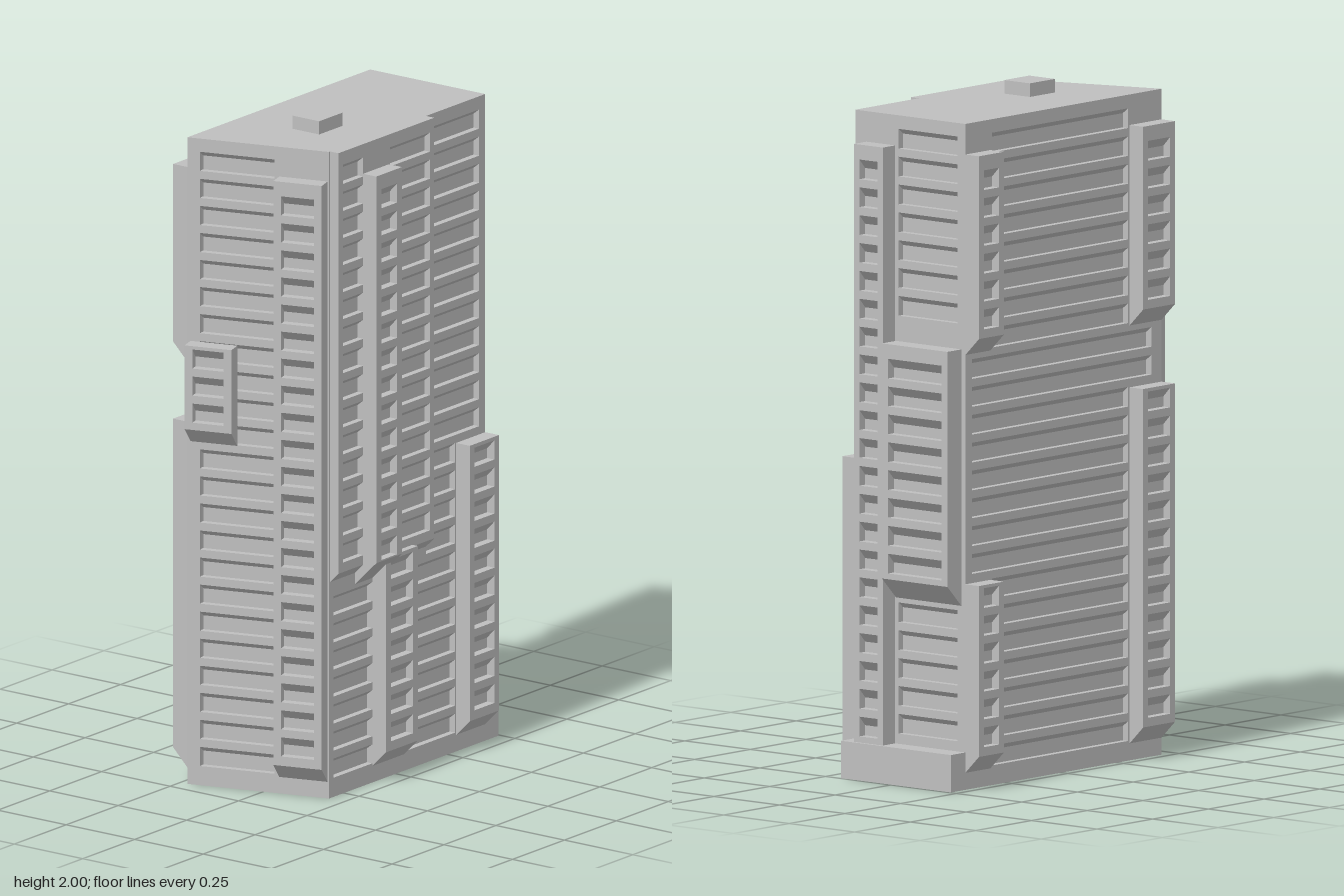
import * as THREE from 'three';
import { mergeGeometries } from 'three/addons/utils/BufferGeometryUtils.js';

const concrete = new THREE.MeshStandardMaterial({ color: 0xbfbfbf });
concrete.name = 'concrete grey';

const TOP = 1.96, FLOOR = 0.082, FIRST = 1.92, OPENING = 0.058;
const range = (a, b) => Array.from({ length: b - a + 1 }, (_, i) => a + i);

// Recess styles: depth, height of the sloped soffit, offset from the floor grid
const WALL = { depth: 0.02, drop: 0.016, off: 0 };
const BAY = { depth: 0.026, drop: 0.028, off: 0.012 };

// One vertical strip: side profile with notches for openings, swept along local x
function strip(x0, x1, o, rows) {
  const s = new THREE.Shape();
  s.moveTo(-o.back, o.y1);
  s.lineTo(-o.front, o.y1);
  for (const k of rows) {
    const t = FIRST - FLOOR * k - o.style.off, inner = -o.front + o.style.depth;
    s.lineTo(-o.front, t);
    s.lineTo(inner, t - o.style.drop);
    s.lineTo(inner, t - OPENING);
    s.lineTo(-o.front, t - OPENING);
  }
  s.lineTo(-o.front, o.y0 + (o.slope || 0));
  s.lineTo(-o.back, o.y0);
  s.closePath();
  const g = new THREE.ExtrudeGeometry(s, { depth: x1 - x0, bevelEnabled: false });
  return g.rotateY(Math.PI / 2).translate(x0, 0, 0);
}

// A wall or bay: window columns [x0, x1, rows] with plain strips in the gaps
function facade(parent, name, o) {
  const parts = [];
  let x = o.x0;
  for (const [a, b, rows] of o.cols) {
    if (a > x + 1e-4) parts.push(strip(x, a, o, []));
    parts.push(strip(a, b, o, rows));
    x = b;
  }
  if (o.x1 > x + 1e-4) parts.push(strip(x, o.x1, o, []));
  const mesh = new THREE.Mesh(mergeGeometries(parts), concrete);
  mesh.name = name;
  parent.add(mesh);
}

const wall = (parent, name, x0, x1, front, cols, extra = {}) =>
  facade(parent, name, { x0, x1, front, back: front - 0.03, y0: 0, y1: TOP, cols, style: WALL, ...extra });

// Projecting bay with one window column and a sloped underside
const bay = (parent, name, x0, x1, y0, y1, back, front, margin, rows) =>
  facade(parent, name, {
    x0, x1, y0, y1, back, front, slope: front - back, style: BAY,
    cols: [[x0 + margin, x1 - margin, rows]],
  });

// Vertical prism from a plan outline of [x, z] points
function prism(parent, name, pts, y0, y1) {
  const s = new THREE.Shape(pts.map(([x, z]) => new THREE.Vector2(x, -z)));
  const g = new THREE.ExtrudeGeometry(s, { depth: y1 - y0, bevelEnabled: false });
  const m = new THREE.Mesh(g.rotateX(-Math.PI / 2).translate(0, y0, 0), concrete);
  m.name = name;
  parent.add(m);
}

function side(parent, name, x, z, angle) {
  const g = new THREE.Group();
  g.name = name;
  g.position.set(x, 0, z);
  g.rotation.y = angle;
  parent.add(g);
  return g;
}

export function createModel() {
  const model = new THREE.Group();
  model.name = 'apartmentTower';

  // Solid core, acute corner post, side plinth and roof hut
  prism(model, 'core', [[-0.416, -0.2], [0.405, -0.2], [0.405, 0.17], [-0.304, 0.17]], 0, TOP);
  prism(model, 'cornerPost', [[-0.45, -0.225], [-0.41, -0.225], [-0.41, -0.19], [-0.439, -0.19]], 0, TOP);
  prism(model, 'sidePlinth', [[0.43, -0.225], [0.495, -0.225], [0.495, 0.195], [0.43, 0.195]], 0, 0.11);
  prism(model, 'roofHut', [[-0.195, -0.035], [-0.083, -0.035], [-0.083, 0.063], [-0.195, 0.063]], TOP, 2);

  // Front: base wall, thicker upper slab and three bays
  const front = side(model, 'frontSide', 0, 0, 0);
  wall(front, 'frontWall', -0.322, 0.43, 0.195, [
    [-0.3, -0.113, range(16, 22)],
    [0.043, 0.146, range(16, 22)],
    [0.146, 0.285, range(0, 22)],
    [0.285, 0.41, range(0, 11)],
  ]);
  wall(front, 'frontUpperSlab', -0.316, 0.145, 0.225, [
    [-0.293, -0.197, range(0, 14)],
    [-0.067, 0.124, range(0, 14)],
  ], { y0: 0.655, slope: 0.03 });
  bay(front, 'frontUpperBay', -0.197, -0.073, 0.62, 1.87, 0.195, 0.273, 0.024, range(1, 14));
  bay(front, 'frontLowerBay', -0.113, 0.04, 0.05, 0.69, 0.195, 0.245, 0.024, range(15, 21));
  bay(front, 'frontCornerBay', 0.29, 0.43, 0.05, 0.935, 0.195, 0.245, 0.022, range(12, 21));

  // Side on +x (local x runs towards the back)
  const right = side(model, 'straightSide', 0, 0, Math.PI / 2);
  wall(right, 'straightSideWall', -0.195, 0.225, 0.43, [
    [-0.03, 0.2, [...range(0, 6), ...range(17, 21)]],
  ]);
  bay(right, 'tallSideBay', -0.153, -0.043, 0.05, 1.87, 0.43, 0.485, 0.02, range(1, 21));
  bay(right, 'wideSideBay', -0.04, 0.21, 0.54, 1.295, 0.43, 0.493, 0.023, range(8, 15));

  // Back (local x is mirrored)
  const back = side(model, 'backSide', 0, 0, Math.PI);
  wall(back, 'backWall', -0.43, 0.44, 0.225, [
    [-0.405, -0.31, range(8, 15)],
    [-0.31, 0.3, range(0, 22)],
    [0.3, 0.405, range(8, 9)],
  ]);
  for (const [label, x0, x1, y1, first] of [
    ['Straight', -0.43, -0.318, 0.605, 16],
    ['Slanted', 0.307, 0.45, 1.098, 10],
  ]) {
    bay(back, 'backUpperBay' + label, x0, x1, 1.28, 1.87, 0.225, 0.277, 0.022, range(1, 6));
    bay(back, 'backLowerBay' + label, x0, x1, 0.05, y1, 0.225, 0.277, 0.022, range(first, 21));
  }

  // Slanted side on -x (local x runs from the back corner to the front)
  const slant = side(model, 'slantedSide', -0.45, -0.225, Math.atan2(-0.956, 0.292));
  wall(slant, 'slantedWall', 0.012, 0.439, 0, [[0.04, 0.27, range(0, 22)]]);
  bay(slant, 'slantedShortBay', 0.01, 0.155, 1.04, 1.344, 0, 0.05, 0.024, range(7, 9));
  bay(slant, 'slantedTallBay', 0.285, 0.435, 0.05, 1.87, 0, 0.05, 0.024, range(1, 21));

  return model;
}
